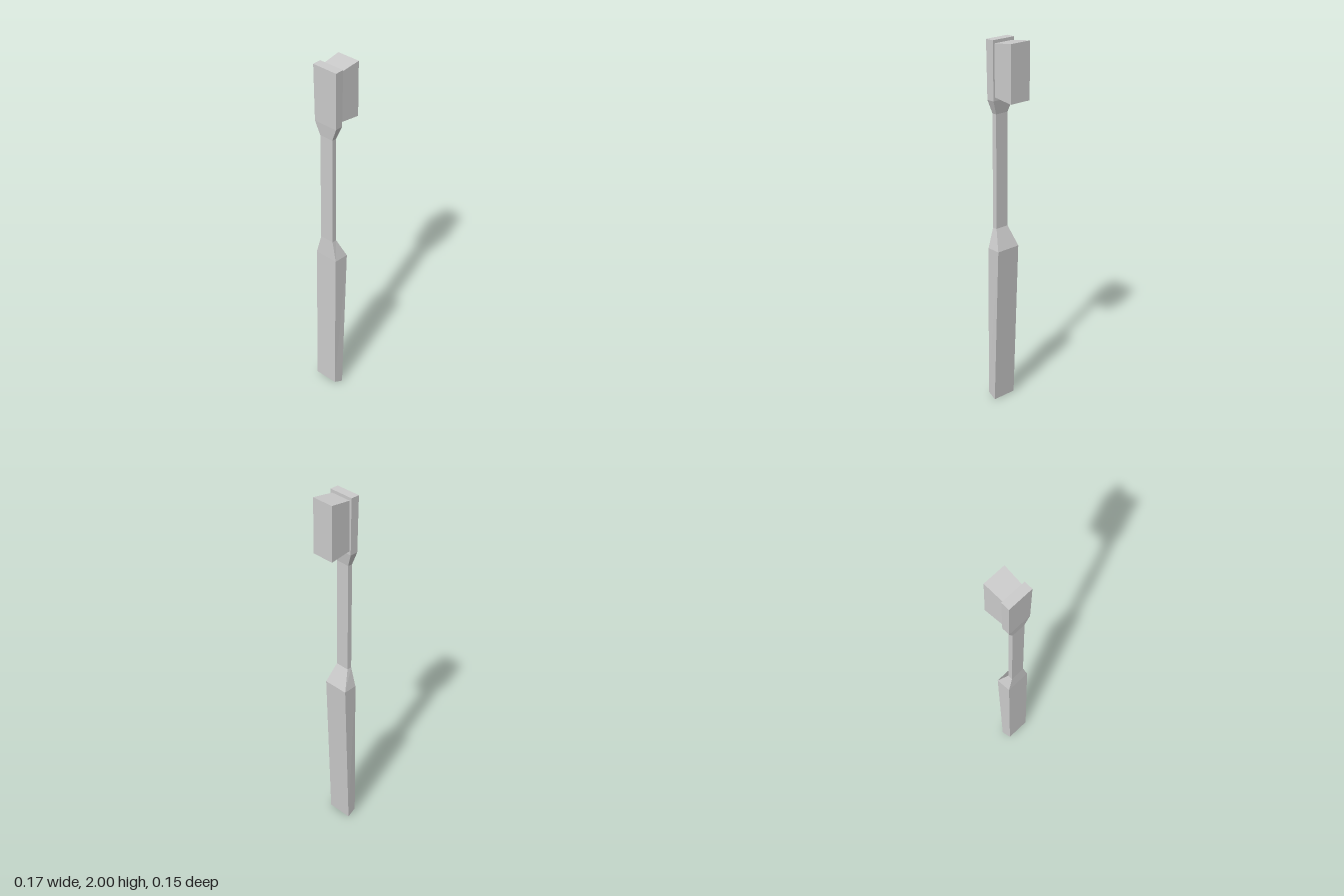
import * as THREE from 'three';

// Joins four-cornered rings into a closed, flat-faced solid.
// Rings run counter-clockwise as seen from the far end.
function loft(name, rings) {
  const pos = [];
  const quad = (a, b, c, d) => [a, b, c, a, c, d].forEach((p) => pos.push(...p));
  for (let r = 0; r < rings.length - 1; r++) {
    const lo = rings[r], hi = rings[r + 1];
    for (let i = 0; i < 4; i++) {
      const j = (i + 1) % 4;
      quad(lo[i], lo[j], hi[j], hi[i]);
    }
  }
  const first = rings[0], last = rings[rings.length - 1];
  quad(first[3], first[2], first[1], first[0]);
  quad(last[0], last[1], last[2], last[3]);

  const geometry = new THREE.BufferGeometry();
  geometry.setAttribute('position', new THREE.Float32BufferAttribute(pos, 3));
  geometry.computeVertexNormals();
  const mesh = new THREE.Mesh(
    geometry,
    new THREE.MeshStandardMaterial({ color: 0xcccccc, flatShading: true })
  );
  mesh.name = name;
  return mesh;
}

// Ring across the handle; the bristle side is +x.
const handleRing = ([xBack, yBack, wBack, xFront, yFront, wFront]) => [
  [xFront, yFront, wFront],
  [xFront, yFront, -wFront],
  [xBack, yBack, -wBack],
  [xBack, yBack, wBack],
];

// Ring across the bristles at a given x.
const bristleRing = ([x, yLow, yHigh, w]) => [
  [x, yLow, w],
  [x, yLow, -w],
  [x, yHigh, -w],
  [x, yHigh, w],
];

export function createModel() {
  const group = new THREE.Group();
  group.name = 'toothbrush';

  // Thick slanted grip, slim neck and flat head in one piece
  const handle = loft('handle', [
    [-0.087, 0.025, 0.066, -0.032, 0, 0.072],
    [-0.08, 0.885, 0.067, 0.001, 0.885, 0.073],
    [-0.074, 0.995, 0.04, -0.047, 0.995, 0.04],
    [-0.074, 1.615, 0.04, -0.047, 1.615, 0.04],
    [-0.08, 1.69, 0.069, -0.035, 1.69, 0.069],
    [-0.083, 2, 0.073, -0.034, 2, 0.073],
  ].map(handleRing));

  // Bristle block flaring away from the head
  const bristles = loft('bristles', [
    [-0.036, 1.71, 1.983, 0.06],
    [0.087, 1.695, 1.998, 0.065],
  ].map(bristleRing));

  group.add(handle, bristles);
  group.position.z = -0.001;
  return group;
}
